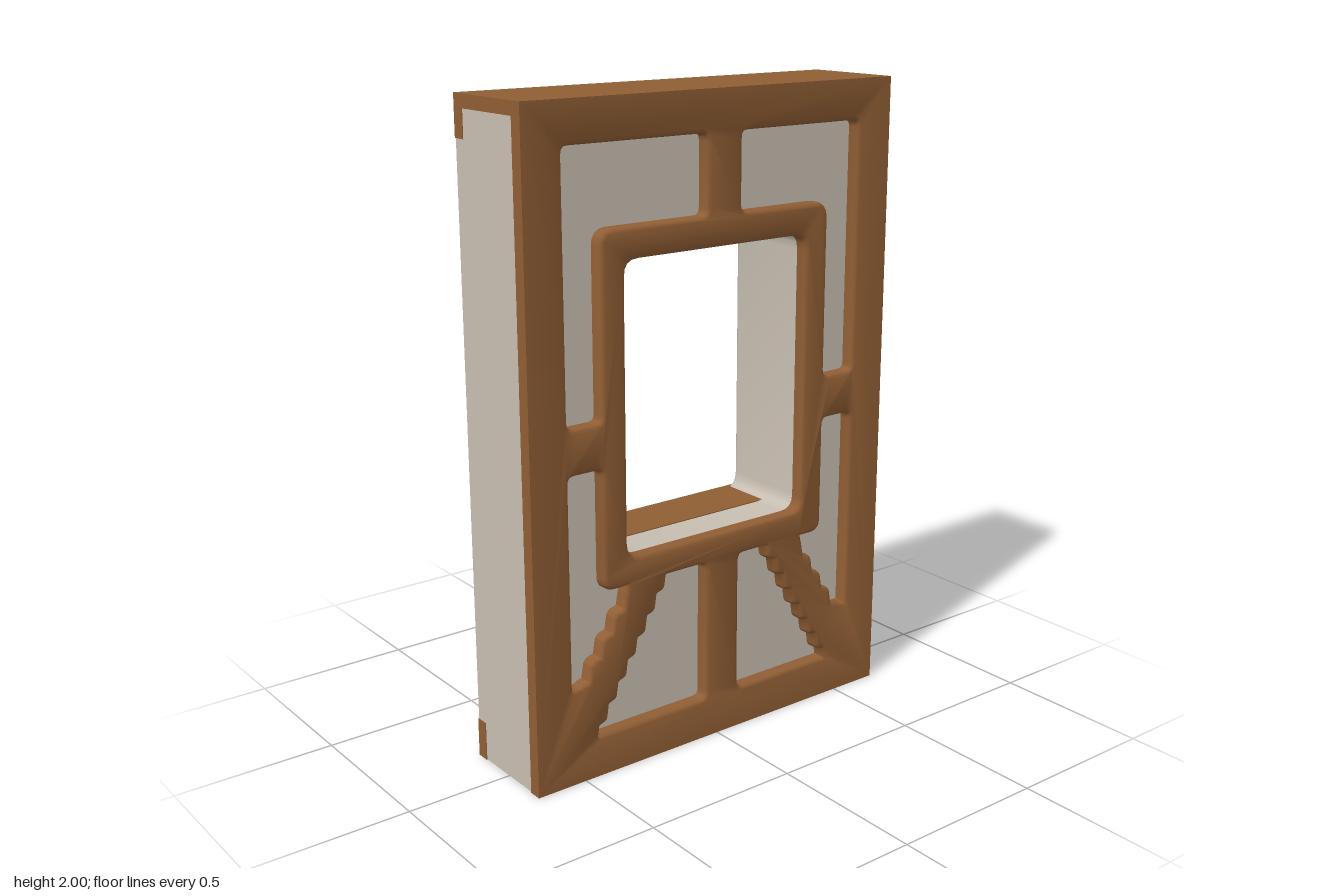
import * as THREE from 'three';
import { toCreasedNormals } from 'three/addons/utils/BufferGeometryUtils.js';

const W = 0.667, H = 2, D = 0.167; // half width, height, half depth
const FACE = 0.125;                // where the plaster meets the front timber
const BEVEL = 0.013, LIP = 0.018;

const timber = new THREE.MeshStandardMaterial({ color: 0x905e34 });
timber.name = 'timber brown';
const plaster = new THREE.MeshStandardMaterial({ color: 0xc8bfb2 });
plaster.name = 'plaster';

// Closed outline with softened corners; short edges get smaller radii
function roundedPath(pts, radius) {
  const path = new THREE.Path();
  const v = pts.map(([x, y]) => new THREE.Vector2(x, y));
  v.forEach((p, i) => {
    const a = v[(i + v.length - 1) % v.length], b = v[(i + 1) % v.length];
    const r = Math.min(radius, 0.3 * p.distanceTo(a), 0.3 * p.distanceTo(b));
    const p0 = a.clone().sub(p).setLength(r).add(p);
    const p1 = b.clone().sub(p).setLength(r).add(p);
    if (i === 0) path.moveTo(p0.x, p0.y); else path.lineTo(p0.x, p0.y);
    path.quadraticCurveTo(p.x, p.y, p1.x, p1.y);
  });
  path.closePath();
  return path;
}

// Slab with soft-edged holes; outer edges are clamped to a crisp box
function slab(holes, box) {
  const { min, max } = box;
  const shape = new THREE.Shape([
    new THREE.Vector2(min.x, min.y), new THREE.Vector2(max.x, min.y),
    new THREE.Vector2(max.x, max.y), new THREE.Vector2(min.x, max.y)]);
  shape.holes = holes;
  const front = max.z === D;
  const geo = new THREE.ExtrudeGeometry(shape, {
    depth: max.z - min.z - LIP, bevelEnabled: true, bevelSize: BEVEL,
    bevelThickness: LIP, bevelSegments: 3, curveSegments: 4 });
  geo.translate(0, 0, front ? min.z : min.z + LIP);
  const pos = geo.attributes.position, p = new THREE.Vector3();
  for (let i = 0; i < pos.count; i++) {
    p.fromBufferAttribute(pos, i).clamp(min, max);
    pos.setXYZ(i, p.x, p.y, p.z);
  }
  return toCreasedNormals(geo, 0.7);
}

// Jagged diagonal going down and outward from (x0,y0) to (x1,y1)
function stairs(x0, y0, x1, y1, steps) {
  const pts = [], dx = (x1 - x0) / steps, dy = (y1 - y0) / steps;
  for (let i = 0; i < steps; i++) {
    const x = x0 + dx * i, y = y0 + dy * i;
    pts.push([x, y], [x + dx * 0.2, y + dy * 0.78], [x + dx * 0.85, y + dy * 0.9]);
  }
  pts.push([x1, y1]);
  return pts;
}

export function createModel() {
  const group = new THREE.Group();
  const add = (name, geo, mat) => {
    const mesh = new THREE.Mesh(geo, mat);
    mesh.name = name;
    group.add(mesh);
  };
  const beam = (name, x, y0, y1, z0, z1) => {
    const geo = new THREE.BoxGeometry(2 * x, y1 - y0, z1 - z0);
    geo.translate(0, (y0 + y1) / 2, (z0 + z1) / 2);
    add(name, geo, timber);
  };

  const win = roundedPath([[-0.348, 0.652], [0.348, 0.652], [0.348, 1.56], [-0.348, 1.56]], 0.06);

  // Recessed panels on each side; the centre stud sits slightly off axis
  const panels = [];
  for (const [s, inner] of [[-1, 0.033], [1, 0.072]]) {
    const outlines = [
      // upper corner panel
      [[inner, 1.888], [0.55, 1.888], [0.55, 1.08], [0.41, 1.08], [0.41, 1.628], [inner, 1.628]],
      // lower side panel beside the brace
      [[0.41, 0.968], [0.55, 0.968], [0.55, 0.29],
        ...stairs(0.335, 0.555, 0.505, 0.29, 4).reverse(), [0.325, 0.593], [0.41, 0.593]],
      // bottom panel under the brace
      [[inner, 0.593], ...stairs(0.205, 0.593, 0.455, 0.165, 7), [0.462, 0.117], [inner, 0.117]],
    ];
    for (const o of outlines) panels.push(roundedPath(o.map(([x, y]) => [s * x, y]), 0.035));
  }

  const box = (x, y0, y1, z0, z1) =>
    new THREE.Box3(new THREE.Vector3(-x, y0, z0), new THREE.Vector3(x, y1, z1));

  // Front timber frame and plaster wall
  add('frontTimberFrame', slab([win, ...panels], box(W, 0, H, FACE, D)), timber);
  add('plasterWall', slab([win], box(W - 0.002, 0.002, 1.962, -D + 0.002, FACE)), plaster);

  // Top plate, rear beams and window sill
  beam('topPlate', W, 1.96, H, -D, FACE);
  beam('rearTopBeam', W, 1.877, 1.96, -D, -FACE);
  beam('rearBottomBeam', W, 0, 0.123, -D, -FACE);
  beam('windowSill', 0.338, 0.615, 0.668, -D, 0.01);
  return group;
}
